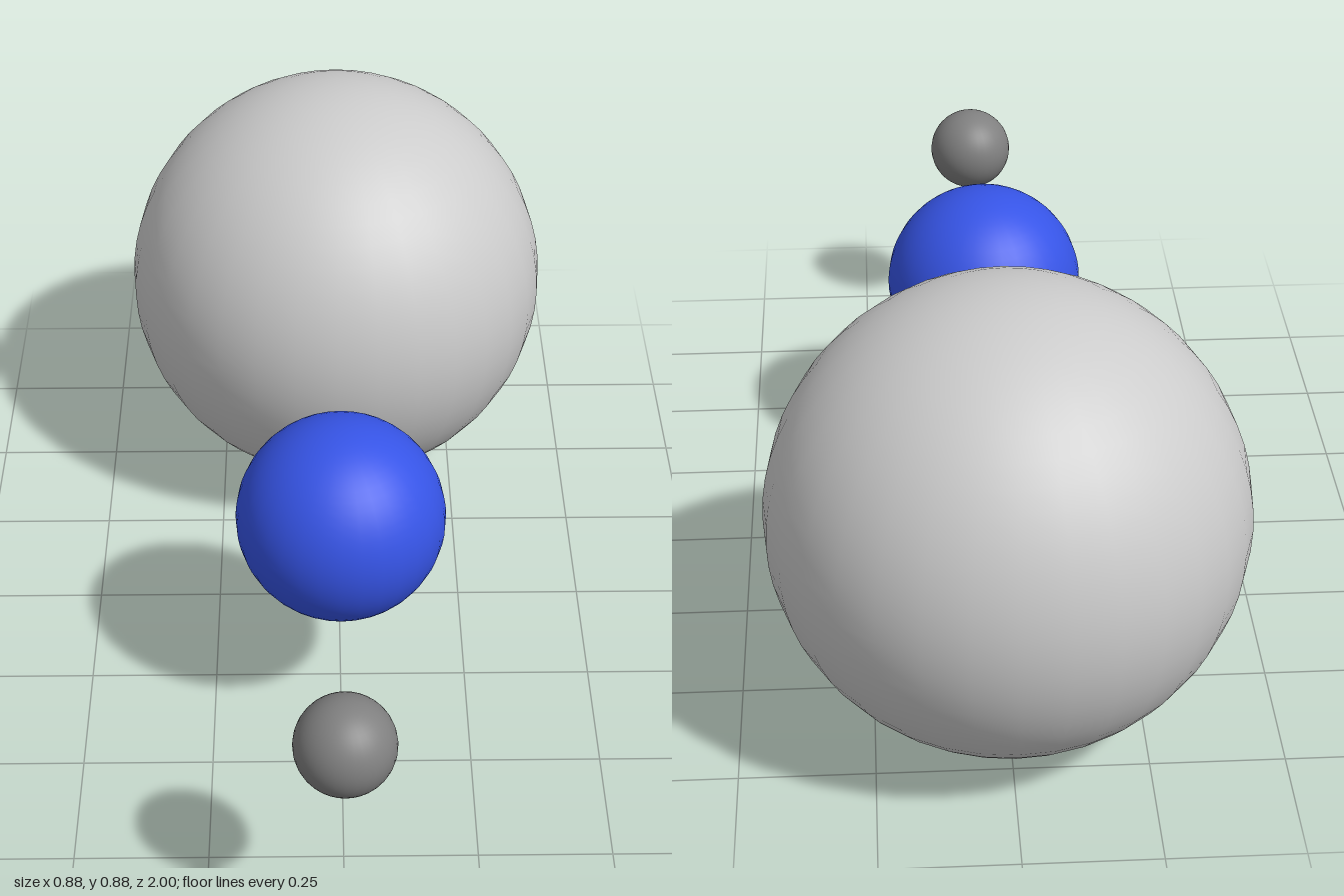
import * as THREE from 'three';

const CENTRE_Y = 0.44;

// Smooth ball on the shared z axis
function ball(name, radius, z, color) {
  const mesh = new THREE.Mesh(
    new THREE.SphereGeometry(radius, 32, 32),
    new THREE.MeshStandardMaterial({ color })
  );
  mesh.name = name;
  mesh.position.set(0, CENTRE_Y, z);
  return mesh;
}

export function createModel() {
  const model = new THREE.Group();
  model.name = 'threeSpheres';

  // Row of three spheres, shrinking towards the front
  model.add(
    ball('largeSphere', 0.44, -0.56, 0xcccccc),
    ball('middleSphere', 0.2, 0.29, 0x3654e6),
    ball('smallSphere', 0.09, 0.91, 0x808080)
  );
  return model;
}
